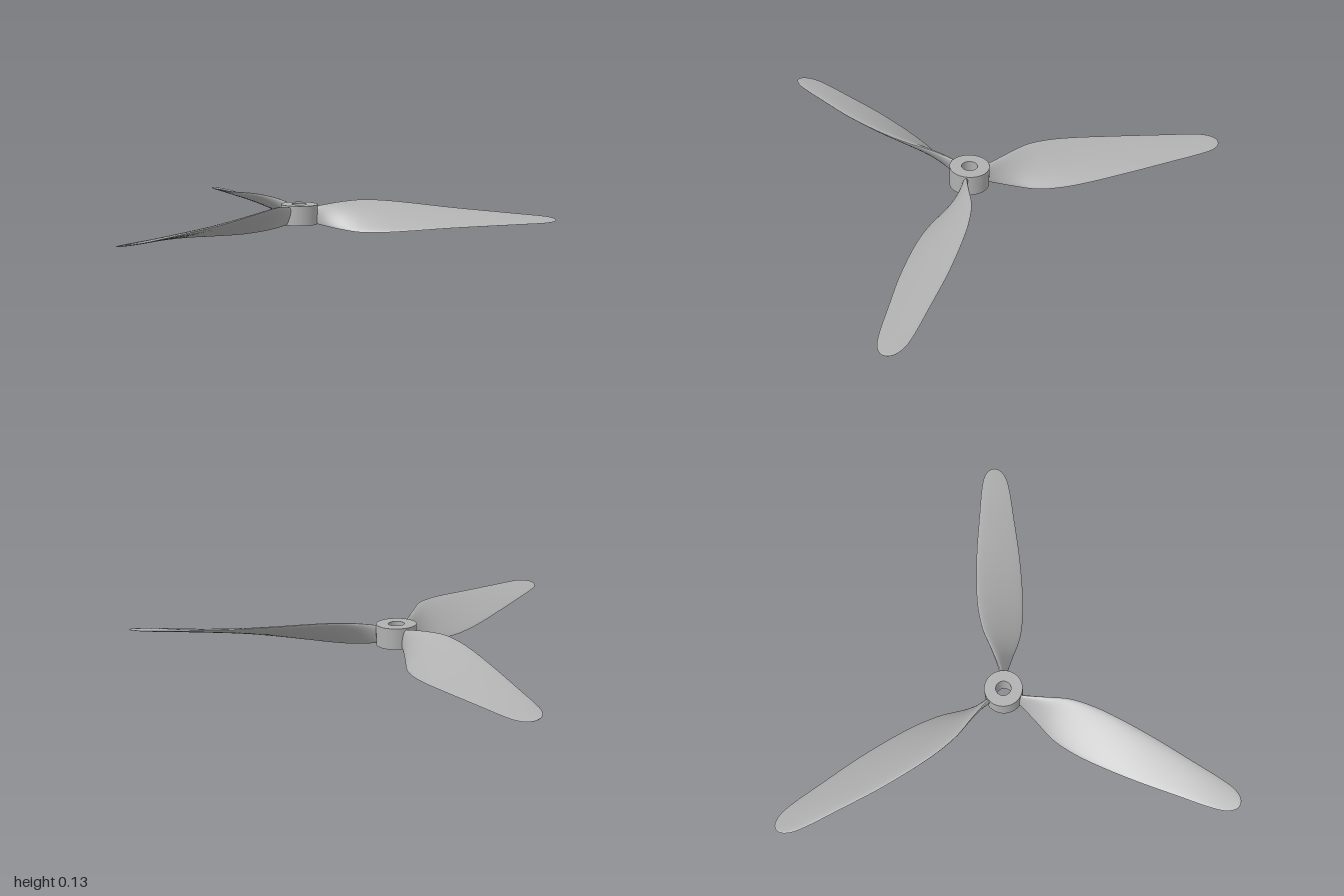
import * as THREE from 'three';

const grey = new THREE.MeshStandardMaterial({ color: 0xb0b0b0 });
grey.name = 'plain grey';

const HUB_Z = -0.285;
const MID_Y = 0.067;

// Blade stations: radius, half chord across, half chord up, half thickness
const STATIONS = [
  [0.065, 0.006, 0.036, 0.010],
  [0.095, 0.012, 0.043, 0.011],
  [0.185, 0.044, 0.057, 0.012],
  [0.285, 0.082, 0.064, 0.012],
  [0.385, 0.099, 0.060, 0.012],
  [0.485, 0.104, 0.052, 0.011],
  [0.685, 0.098, 0.034, 0.009],
  [0.885, 0.080, 0.021, 0.007],
  [1.035, 0.065, 0.012, 0.005],
  [1.095, 0.053, 0.009, 0.004],
  [1.130, 0.035, 0.006, 0.003],
  [1.145, 0.018, 0.003, 0.002],
  [1.150, 0.001, 0.0005, 0.0005],
];

// Smooth curve through one column of the stations
function column(i) {
  return new THREE.CatmullRomCurve3(
    STATIONS.map((s) => new THREE.Vector3(s[0], s[i], 0)), false, 'centripetal');
}

// Twisted aerofoil pointing along +z, its +x edge raised
function bladeGeometry() {
  const across = column(1), up = column(2), thick = column(3);
  const rows = 60, cols = 16;
  const pos = [], index = [];
  for (const side of [1, -1]) {
    const base = pos.length / 3;
    for (let r = 0; r <= rows; r++) {
      const a = across.getPoint(r / rows);
      const w = Math.max(a.y, 0.0005);
      const h = Math.max(up.getPoint(r / rows).y, 0.0002);
      const t = Math.max(thick.getPoint(r / rows).y, 0.0002);
      const len = Math.hypot(w, h);
      for (let c = 0; c <= cols; c++) {
        const angle = (Math.PI * c) / cols;
        const u = -Math.cos(angle);
        // fuller towards the raised leading edge
        const off = side * t * Math.sin(angle) * (1 + 0.3 * u);
        pos.push(u * w - (off * h) / len, u * h + (off * w) / len, a.x);
      }
    }
    for (let r = 0; r < rows; r++) {
      for (let c = 0; c < cols; c++) {
        const p = base + r * (cols + 1) + c;
        const q = p + cols + 1;
        if (side > 0) index.push(p, q, p + 1, p + 1, q, q + 1);
        else index.push(p, p + 1, q, p + 1, q + 1, q);
      }
    }
  }
  const geo = new THREE.BufferGeometry();
  geo.setAttribute('position', new THREE.Float32BufferAttribute(pos, 3));
  geo.setIndex(index);
  geo.computeVertexNormals();
  return geo;
}

// Ring-shaped hub with a shaft hole
function hubGeometry() {
  const shape = new THREE.Shape().absarc(0, 0, 0.085, 0, Math.PI * 2, false);
  shape.holes.push(new THREE.Path().absarc(0, 0, 0.034, 0, Math.PI * 2, true));
  const geo = new THREE.ExtrudeGeometry(shape, { depth: 0.09, bevelEnabled: false, curveSegments: 48 });
  geo.rotateX(-Math.PI / 2);
  geo.translate(0, 0.025, 0);
  return geo;
}

export function createModel() {
  const model = new THREE.Group();
  model.name = 'propeller';

  const hub = new THREE.Mesh(hubGeometry(), grey);
  hub.name = 'hub';
  hub.position.z = HUB_Z;
  model.add(hub);

  // Three equal blades around the hub
  const geo = bladeGeometry();
  for (let i = 0; i < 3; i++) {
    const blade = new THREE.Mesh(geo, grey);
    blade.name = 'blade' + (i + 1);
    blade.position.set(0, MID_Y, HUB_Z);
    blade.rotation.y = (i * Math.PI * 2) / 3;
    model.add(blade);
  }
  return model;
}
